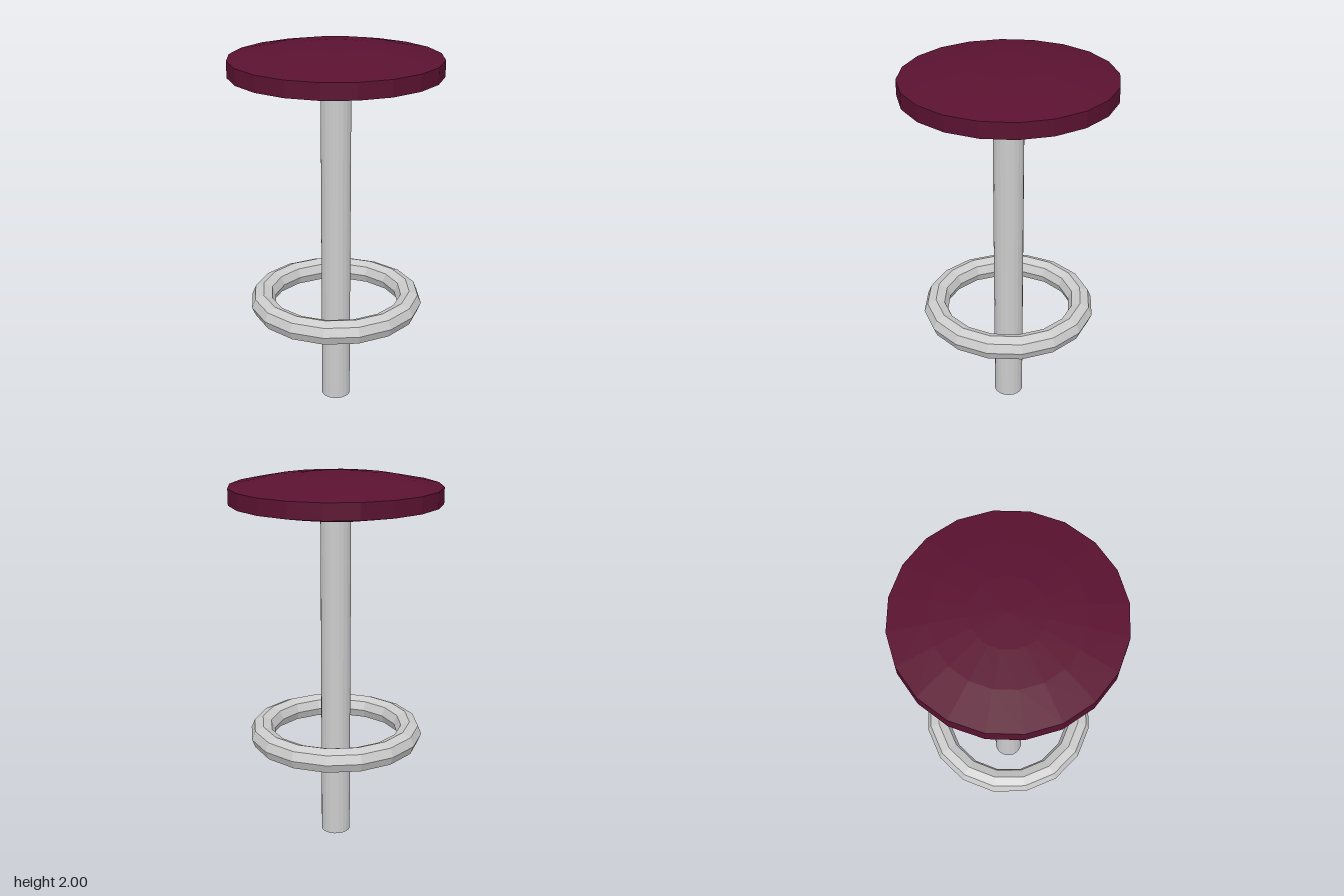
import * as THREE from 'three';

export function createModel() {
  const stool = new THREE.Group();
  stool.name = 'barStool';

  const metal = new THREE.MeshStandardMaterial({ color: 0xcccccc, flatShading: true });
  const cushion = new THREE.MeshStandardMaterial({ color: 0x5a1230, flatShading: true });

  const add = (name, geometry, material, y) => {
    const mesh = new THREE.Mesh(geometry, material);
    mesh.name = name;
    mesh.position.y = y;
    stool.add(mesh);
  };

  // Domed seat: the same shallow curve above and below a straight rim
  const dome = [[0, 0.105], [0.18, 0.099], [0.36, 0.08], [0.55, 0.042]];
  const profile = [
    ...dome.map(([r, y]) => new THREE.Vector2(r, -y)),
    ...dome.toReversed().map(([r, y]) => new THREE.Vector2(r, y)),
  ];
  add('seat', new THREE.LatheGeometry(profile, 20), cushion, 1.895);

  // Central column, its top sunk a little into the seat
  add('column', new THREE.CylinderGeometry(0.08, 0.08, 1.82, 20), metal, 0.91);

  // Footrest ring around the column
  const ring = new THREE.TorusGeometry(0.404, 0.066, 8, 16).rotateX(Math.PI / 2);
  add('footrestRing', ring, metal, 0.595);

  return stool;
}
